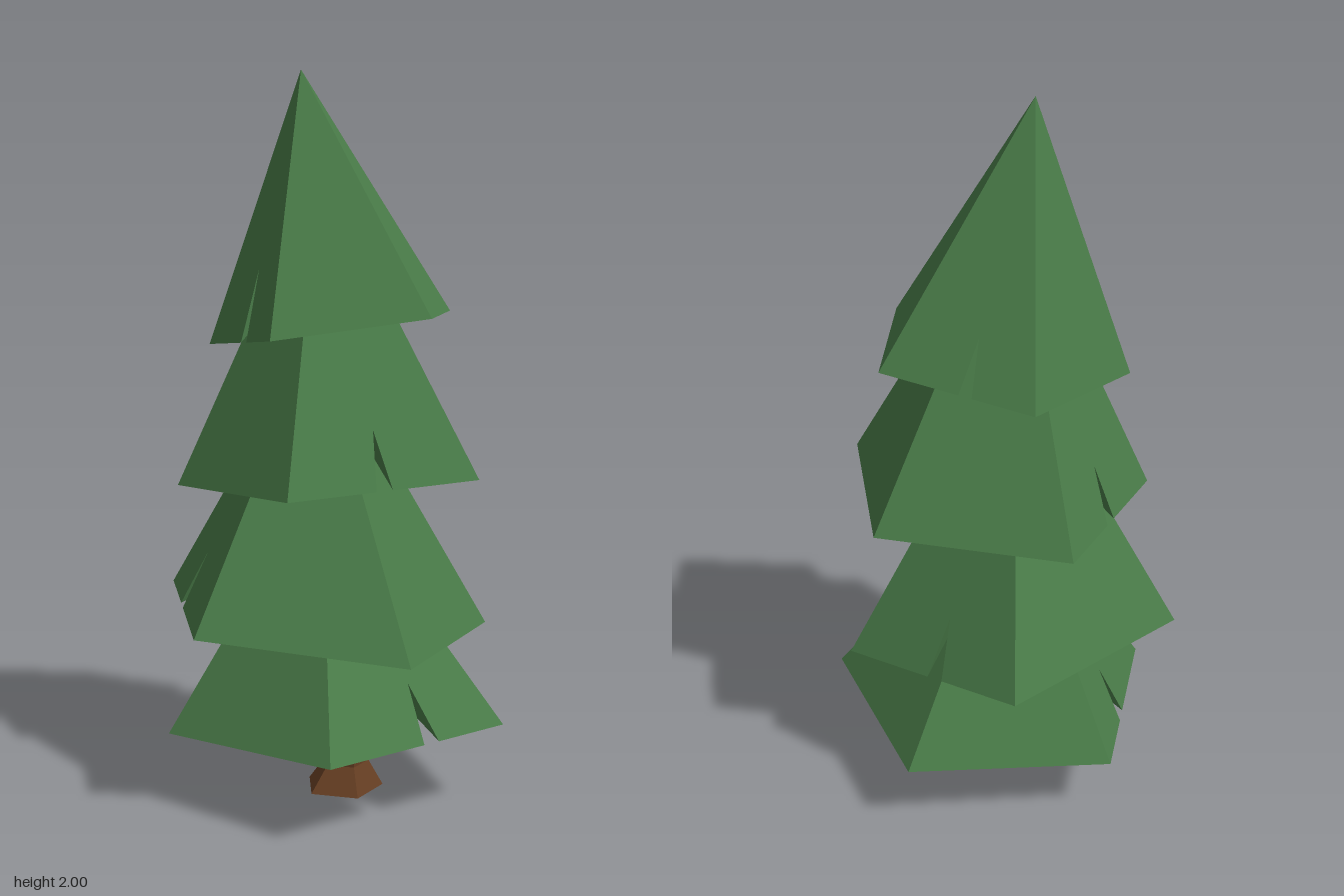
import * as THREE from 'three';

const leafGreen = new THREE.MeshStandardMaterial({ name: 'leafGreen', color: 0x497b48, flatShading: true });
const barkBrown = new THREE.MeshStandardMaterial({ name: 'barkBrown', color: 0x643d22, flatShading: true });

function facetMesh(name, points, material) {
  const geometry = new THREE.BufferGeometry().setFromPoints(points);
  geometry.computeVertexNormals();
  const mesh = new THREE.Mesh(geometry, material);
  mesh.name = name;
  return mesh;
}

// Five-sided cone on a tilted rim with a hollowed underside;
// notches maps a side's index to [place along the side, height of the tip on the slope]
function branchTier({ name, apex, height, tiltX, tiltZ, rim, notches }) {
  const top = new THREE.Vector3(...apex);
  const hollow = new THREE.Vector3(0, height + 0.25, 0);
  const corners = rim.map(([x, z]) => new THREE.Vector3(x, height + tiltX * x + tiltZ * z, z));
  const points = [];
  corners.forEach((a, i) => {
    const b = corners[(i + 1) % corners.length];
    let edge = [a, b];
    if (notches[i]) {
      const [place, depth] = notches[i];
      const along = f => a.clone().lerp(b, f);
      const tip = along(place).lerp(top, depth);
      edge = [a, along(place - 0.045), tip, along(place + 0.04), b];
      points.push(top, a, tip, a, edge[1], tip);
      points.push(top, tip, b, tip, edge[3], b);
    } else {
      points.push(top, a, b);
    }
    // underside, folded up into each notch
    for (let k = 0; k < edge.length - 1; k++) points.push(hollow, edge[k + 1], edge[k]);
  });
  return facetMesh(name, points, leafGreen);
}

// Five-sided trunk: flared foot and slightly bent stem, [centre x, y, centre z, radius]
function trunk() {
  const rings = [
    [0.037, 0, 0, 0.114], [0.042, 0.07, -0.01, 0.066], [0.04, 0.2, -0.005, 0.06],
    [0.05, 0.3, 0, 0.058], [0.02, 0.42, 0.005, 0.052], [0, 0.55, 0, 0.045],
  ];
  const at = ([x, y, z, r], i) => {
    const angle = THREE.MathUtils.degToRad(35 + 72 * i);
    return new THREE.Vector3(x + r * Math.sin(angle), y, z + r * Math.cos(angle));
  };
  const points = [];
  for (let i = 0; i < 5; i++) {
    for (let k = 0; k < rings.length - 1; k++) {
      const a = at(rings[k], i), b = at(rings[k], i + 1);
      const c = at(rings[k + 1], i + 1), d = at(rings[k + 1], i);
      points.push(a, b, c, a, c, d);
    }
    // underside of the foot
    points.push(new THREE.Vector3(0.037, 0, 0), at(rings[0], i + 1), at(rings[0], i));
  }
  return facetMesh('trunk', points, barkBrown);
}

export function createModel() {
  const group = new THREE.Group();
  group.name = 'pineTree';
  const tiers = [
    { name: 'bottomBranches', apex: [-0.03, 0.9, -0.02], height: 0.213, tiltX: 0.042, tiltZ: 0.014,
      rim: [[0.12, 0.48], [0.5, 0.055], [0.215, -0.435], [-0.34, -0.315], [-0.395, 0.25]],
      notches: { 0: [0.57, 0.21], 3: [0.4, 0.21] } },
    { name: 'lowerBranches', apex: [-0.04, 1.3, 0], height: 0.492, tiltX: -0.105, tiltZ: 0,
      rim: [[-0.26, 0.42], [0.3, 0.35], [0.41, -0.205], [-0.085, -0.485], [-0.5, -0.095]],
      notches: { 2: [0.53, 0.19], 4: [0.45, 0.2] } },
    { name: 'upperBranches', apex: [-0.03, 1.74, 0], height: 0.897, tiltX: 0.065, tiltZ: 0,
      rim: [[0, 0.445], [0.44, 0.155], [0.3, -0.355], [-0.225, -0.375], [-0.405, 0.12]],
      notches: { 0: [0.5, 0.18], 3: [0.48, 0.18] } },
    { name: 'topBranches', apex: [-0.085, 2, -0.015], height: 1.302, tiltX: 0.138, tiltZ: 0,
      rim: [[-0.075, 0.335], [0.315, 0.18], [0.29, -0.25], [-0.12, -0.35], [-0.345, 0.01]],
      notches: { 2: [0.56, 0.2], 4: [0.59, 0.27] } },
  ];
  group.add(trunk(), ...tiers.map(branchTier));
  return group;
}
